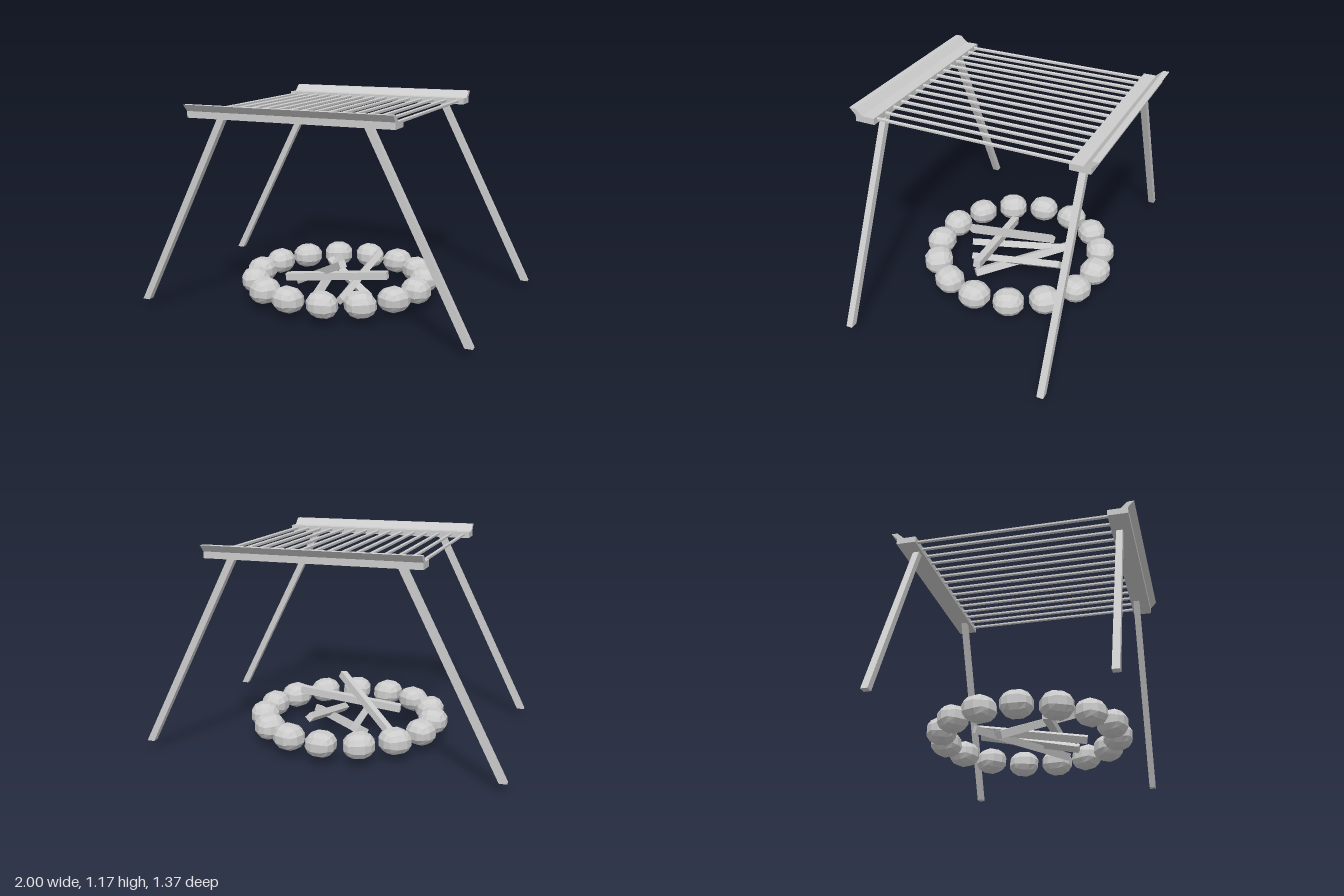
import * as THREE from 'three';

const material = new THREE.MeshStandardMaterial({ color: 0xcccccc, flatShading: true });

function add(parent, name, geometry) {
  const mesh = new THREE.Mesh(geometry, material);
  mesh.name = name;
  parent.add(mesh);
  return mesh;
}

// Slanted post with level ends: a box whose top and bottom slide sideways
function legGeometry(bottom, top, width, depth) {
  const geo = new THREE.BoxGeometry(width, 1, depth);
  const pos = geo.attributes.position;
  for (let i = 0; i < pos.count; i++) {
    const end = pos.getY(i) < 0 ? bottom : top;
    pos.setXYZ(i, pos.getX(i) + end[0], end[1], pos.getZ(i) + end[2]);
  }
  geo.computeVertexNormals();
  return geo;
}

// Faceted boulder: a coarse cube swelled to a ball
function stoneGeometry(random) {
  const geo = new THREE.BoxGeometry(2, 2, 2, 3, 3, 3);
  const pos = geo.attributes.position;
  const v = new THREE.Vector3();
  const skew = [random(), random(), random()].map((r) => (r - 0.5) * 0.14);
  for (let i = 0; i < pos.count; i++) {
    v.fromBufferAttribute(pos, i).normalize().multiplyScalar(1.1);
    v.x += skew[0] * v.y + skew[1] * v.z;
    v.z += skew[2] * v.y;
    pos.setXYZ(i, v.x * 0.084, v.y * 0.069, v.z * 0.08);
  }
  geo.computeVertexNormals();
  return geo;
}

export function createModel() {
  const model = new THREE.Group();
  model.name = 'campfireGrill';

  // End rails with an outward leaning lip
  const length = 1.145;
  const base = new THREE.Shape([
    [0.537, 1.105], [0.648, 1.105], [0.648, 1.14], [0.683, 1.176],
    [0.648, 1.176], [0.608, 1.14], [0.537, 1.14],
  ].map(([z, y]) => new THREE.Vector2(z, y)));
  const railGeo = new THREE.ExtrudeGeometry(base, { depth: length, bevelEnabled: false });
  railGeo.translate(0, 0, -length / 2).rotateY(-Math.PI / 2);
  add(model, 'frontRail', railGeo);
  add(model, 'backRail', railGeo).rotation.y = Math.PI;

  // Grill bars
  const grill = new THREE.Group();
  grill.name = 'grillBars';
  model.add(grill);
  const barGeo = new THREE.CylinderGeometry(0.0105, 0.0105, 1.12, 6).rotateX(Math.PI / 2);
  for (let i = 0; i < 15; i++) {
    add(grill, 'grillBar', barGeo).position.set((i - 7) * 0.0765, 1.124, 0);
  }

  // Splayed legs
  const legs = [
    ['frontLeftLeg', [0.937, 0.05, 0.555], [0.407, 1.11, 0.572]],
    ['frontRightLeg', [-0.925, 0.05, 0.591], [-0.4, 1.11, 0.58]],
    ['backLeftLeg', [0.975, 0.05, -0.592], [0.442, 1.11, -0.575]],
    ['backRightLeg', [-0.978, 0.05, -0.555], [-0.448, 1.11, -0.572]],
  ];
  for (const [name, bottom, top] of legs) add(model, name, legGeometry(bottom, top, 0.042, 0.036));

  // Ring of stones
  let seed = 7;
  const random = () => (seed = (seed * 16807) % 2147483647) / 2147483647;
  const ring = new THREE.Group();
  ring.name = 'stoneRing';
  model.add(ring);
  for (let i = 0; i < 15; i++) {
    const a = (i / 15) * Math.PI * 2;
    const stone = add(ring, 'stone', stoneGeometry(random));
    stone.position.set(Math.sin(a) * 0.492, 0.115, -0.02 - Math.cos(a) * 0.485);
    stone.rotation.y = -a + (random() - 0.5) * 0.3;
  }

  // Crossed firewood: start, end, thickness, roll
  const sticks = [
    [[-0.27, 0.13, 0.133], [0.34, 0.203, 0.092], 0.043, 0],
    [[-0.31, 0.027, -0.11], [0.125, 0.278, 0.23], 0.042, 0.15],
    [[-0.175, 0.12, -0.285], [0.255, 0.07, 0.145], 0.042, 0.4],
    [[-0.115, 0.14, -0.29], [-0.025, 0.065, 0.305], 0.04, 0.6],
    [[0.128, 0.19, -0.335], [0.11, 0.065, 0.235], 0.038, 0.75],
  ];
  const wood = new THREE.Group();
  wood.name = 'firewood';
  model.add(wood);
  for (const [from, to, size, roll] of sticks) {
    const a = new THREE.Vector3(...from);
    const b = new THREE.Vector3(...to);
    const geo = new THREE.BoxGeometry(size, size, a.distanceTo(b)).rotateZ(roll);
    const stick = add(wood, 'stick', geo);
    stick.position.copy(a).lerp(b, 0.5);
    stick.lookAt(b);
  }
  return model;
}
